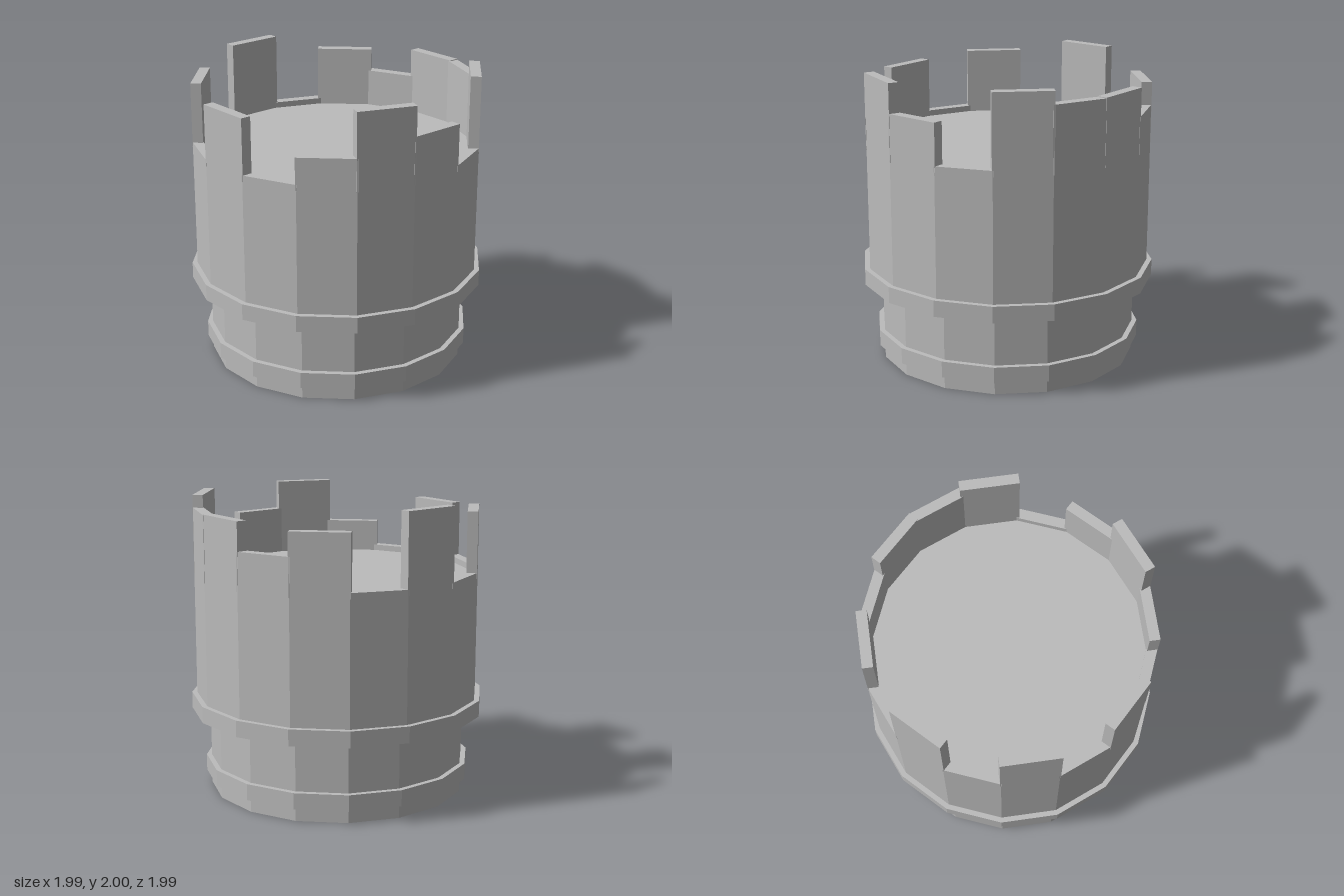
import * as THREE from 'three';

const SIDES = 16;
const FLOOR = 1.475;

// Height of each wall block, starting at the front and turning towards +x
const BLOCK_TOPS = [
  1.69, 1.985, 1.79, 1.515, 2.0, 1.915, 1.92, 1.73,
  1.885, 1.515, 2.0, 1.515, 1.92, 1.515, 1.885, 1.515,
];

export function createModel() {
  const group = new THREE.Group();
  const stone = new THREE.MeshStandardMaterial({ color: 0xbcbcbc, flatShading: true });
  stone.name = 'grey stone';

  // Straight sixteen-sided drum between two heights
  const drum = (name, radius, bottom, top) => {
    const mesh = new THREE.Mesh(
      new THREE.CylinderGeometry(radius, radius, top - bottom, SIDES), stone);
    mesh.name = name;
    mesh.position.y = (bottom + top) / 2;
    group.add(mesh);
  };
  drum('base', 0.87, 0, 0.54);
  drum('lowerBand', 0.905, 0.09, 0.2);
  drum('upperBand', 0.995, 0.54, 0.65);
  drum('tower', 0.96, 0.65, FLOOR);

  // Broken battlement: one box per side, its outer face flush with the tower
  const battlement = new THREE.Group();
  battlement.name = 'battlement';
  const apothem = 0.96 * Math.cos(Math.PI / SIDES);
  const depth = 0.07;
  BLOCK_TOPS.forEach((top, i) => {
    const geometry = new THREE.BoxGeometry(0.385, top - FLOOR, depth);
    geometry.translate(0, (top + FLOOR) / 2, apothem - depth / 2);
    const block = new THREE.Mesh(geometry, stone);
    block.name = `wallBlock${i + 1}`;
    block.rotation.y = ((i + 0.5) * 2 * Math.PI) / SIDES;
    battlement.add(block);
  });
  group.add(battlement);

  return group;
}
